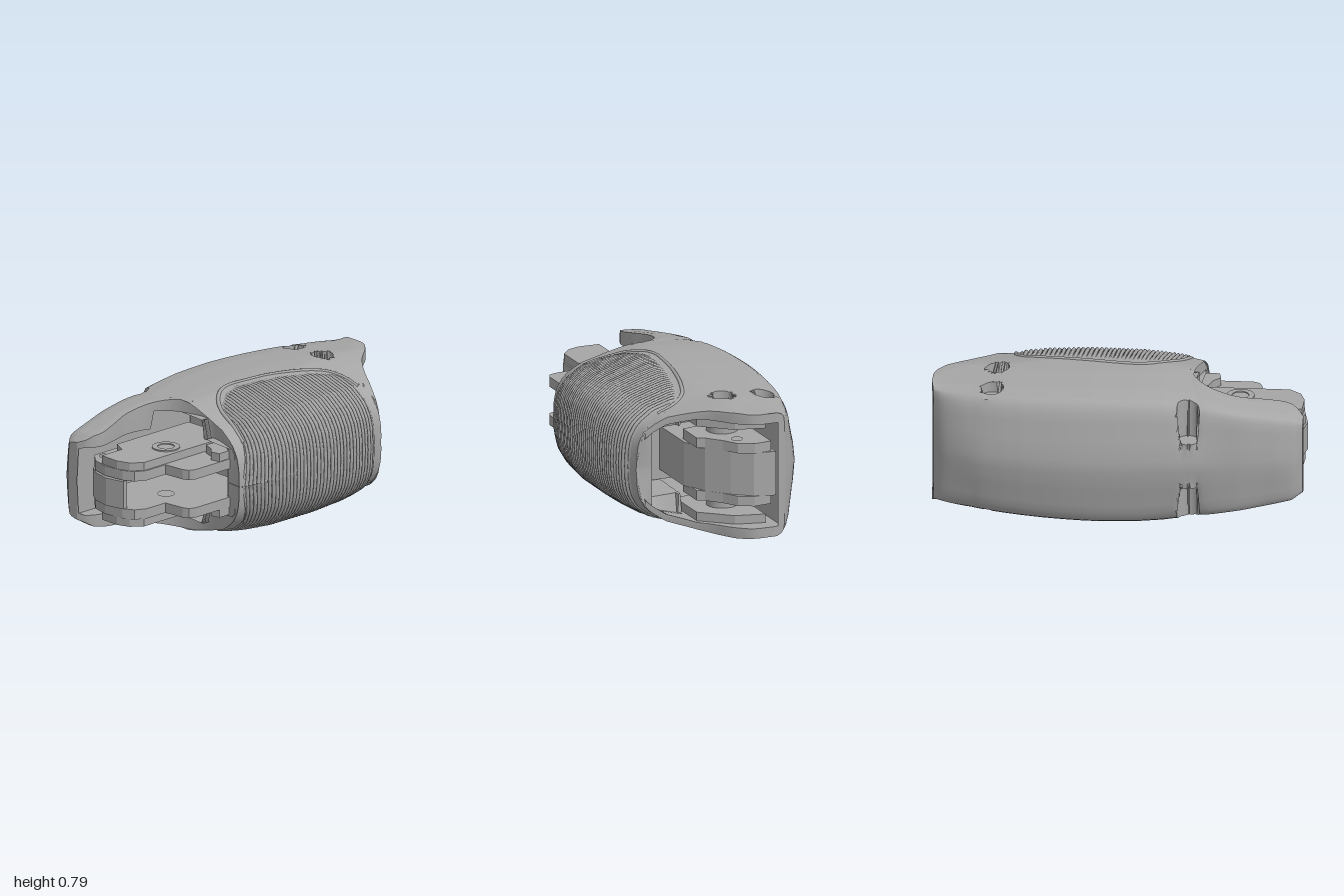
import * as THREE from 'three';
import { toCreasedNormals, mergeVertices } from 'three/addons/utils/BufferGeometryUtils.js';

const MID = 0.39; // the body is mirrored about this height

// linear lookup in a list of [key, value]
function lut(t, x) {
  if (x <= t[0][0]) return t[0][1];
  for (let i = 1; i < t.length; i++) {
    if (x <= t[i][0]) {
      const [a, b] = [t[i - 1], t[i]];
      return a[1] + (b[1] - a[1]) * (x - a[0]) / (b[0] - a[0]);
    }
  }
  return t[t.length - 1][1];
}

// body form: half height along z, right side line, crown across x, left wall rounding
const HALF = [[-1, 0.345], [-0.8, 0.362], [-0.4, 0.38], [-0.15, 0.388], [0.1, 0.387], [0.25, 0.378],
  [0.4, 0.358], [0.6, 0.315], [0.8, 0.28], [0.93, 0.255], [1, 0.21]];
const RIGHT = [[-0.6, 0.44], [-0.5, 0.468], [-0.4, 0.485], [-0.2, 0.497], [0.1, 0.495], [0.3, 0.475], [0.44, 0.447]];
const CROWN = [[0.05, 1], [0.12, 0.965], [0.2, 0.91], [0.35, 0.79], [0.42, 0.66], [0.45, 0.58],
  [0.48, 0.44], [0.49, 0.34], [0.497, 0.22], [0.5, 0]];
const WALL = [[0, 0], [0.01, 0.25], [0.03, 0.5], [0.05, 0.75], [0.075, 0.88], [0.1, 0.92], [0.2, 0.965], [0.4, 1]];
const rightX = (z) => lut(RIGHT, z);
const height = (x, z) => lut(HALF, z) * lut(CROWN, x + 0.5 - rightX(z));

// plan rows: left x, left z, right x, right z (right x of 0.55 follows the closed grip side)
const ROWS = [
  [-0.27, -0.985, -0.2, -1], [-0.33, -0.93, -0.08, -0.99], [-0.38, -0.85, 0, -0.93], [-0.43, -0.74, 0.11, -0.8],
  [-0.46, -0.62, 0.25, -0.7], [-0.475, -0.53, 0.39, -0.635], [-0.482, -0.48, 0.55, -0.58], [-0.5, -0.25, 0.55, -0.3],
  [-0.497, 0, 0.55, 0.05], [-0.475, 0.25, 0.55, 0.3], [-0.465, 0.33, 0.55, 0.43], [-0.46, 0.36, 0.38, 0.42],
  [-0.455, 0.4, 0.2, 0.365], [-0.45, 0.44, 0.06, 0.36], [-0.44, 0.5, -0.09, 0.41], [-0.43, 0.57, -0.17, 0.5],
  [-0.42, 0.66, -0.2, 0.64], [-0.4, 0.78, -0.165, 0.79], [-0.38, 0.88, -0.15, 0.89], [-0.35, 0.95, -0.18, 0.955],
  [-0.3, 0.99, -0.23, 0.99]];
// screw recesses: x, z, radius, floor half height
const BORES = [[-0.28, -0.67, 0.06, 0.3], [-0.05, -0.655, 0.06, 0.31], [-0.39, 0.385, 0.06, 0.13]];
const LEFT_OFF = [0, 0.004, 0.01, 0.02, 0.03, 0.04, 0.05, 0.062, 0.075, 0.1];
const RIGHT_OFF = [0.08, 0.065, 0.05, 0.035, 0.02, 0.01, 0.003, 0];

// grid of [x, half height, z] loops, built above and below the middle plane
function mirroredGrid(rows, caps, crease) {
  const pos = [];
  const quad = (a, b, c, d) => {
    for (const t of [[a, b, c], [a, c, d]]) {
      for (const p of t) pos.push(p[0], MID + p[1], p[2]);
      for (const p of [t[0], t[2], t[1]]) pos.push(p[0], MID - p[1], p[2]);
    }
  };
  const n = rows[0].length;
  for (let r = 0; r < rows.length - 1; r++) {
    for (let j = 0; j < n - 1; j++) quad(rows[r][j], rows[r + 1][j], rows[r + 1][j + 1], rows[r][j + 1]);
  }
  if (caps) {
    const [f, l] = [rows[0], rows[rows.length - 1]];
    for (let j = 0; j < n / 2 - 1; j++) {
      quad(f[j], f[j + 1], f[n - 2 - j], f[n - 1 - j]);
      quad(l[j], l[n - 1 - j], l[n - 2 - j], l[j + 1]);
    }
  }
  const g = new THREE.BufferGeometry();
  g.setAttribute('position', new THREE.Float32BufferAttribute(pos, 3));
  return toCreasedNormals(mergeVertices(g), crease);
}

// one shell section: outer skin left to right, then cavity lining right to left
function shellSection(L, R, last) {
  const xl = L.x, xr = Math.min(R.x, rightX(R.z)), w = xr - xl, k = Math.min(1, w / 0.5);
  const zAt = (x) => L.z + (R.z - L.z) * (x - xl) / w;
  const xs = LEFT_OFF.map((o) => xl + o * k);
  const a = xl + 0.1 * k, b = xr - 0.08 * k;
  for (let i = 1; i < 40; i++) xs.push(a + (b - a) * i / 40);
  RIGHT_OFF.forEach((o) => xs.push(xr - o * k));
  const n = xs.length;
  const out = xs.map((x, j) => {
    let z = zAt(x), h = height(x, z) * lut(WALL, (x - xl) / k);
    if (j === n - 1) h *= 0.94;
    for (const [bx, bz, r, floor] of BORES) {
      const dx = x - bx, dz = z - bz, d = Math.hypot(dx, dz);
      if (d > r + 0.013 || d < 1e-4 || h < floor) continue;
      const d2 = d < r ? (d > r - 0.013 ? r - 0.001 : d) : r;
      if (d < r) h = floor;
      x = bx + dx * d2 / d;
      z = bz + dz * d2 / d;
    }
    return [x, h, z];
  });
  const end = out[n - 1][1];
  const il = Math.min(Math.max(xl + 0.05, -0.24), xr - 0.01);
  const ir = xr - 0.1 * Math.max(0, (0.2 - end) / 0.2);
  for (let j = n - 1; j >= 0; j--) {
    const s = Math.min(1, Math.max(0, (j - 1) / (n - 3)));
    const x = il + (ir - il) * s, z = zAt(x);
    let h = z > 0.5 || (x > 0.14 && z > -0.55) ? 0.19 : 0.29;
    h = Math.min(h, Math.max(0, height(x, z) - 0.04));
    if (j === n - 1) h = Math.min(h, end);
    if (j === 0 || last) h = 0;
    out.push([x, h, z]);
  }
  return out;
}

function shellGeometry() {
  const curve = (i) => new THREE.CatmullRomCurve3(ROWS.map((r) => new THREE.Vector3(r[i], 0, r[i + 1])));
  const [cl, cr] = [curve(0), curve(2)], N = 140, rows = [];
  for (let i = 0; i <= N; i++) rows.push(shellSection(cl.getPoint(i / N), cr.getPoint(i / N), i === N));
  return mirroredGrid(rows, true, 0.6);
}

// grip panel: start of the panel on the top face along z
const GRIP = [[-0.585, 0.3], [-0.575, 0.21], [-0.52, 0.13], [-0.4, 0.08], [-0.2, 0.035], [0, 0.01], [0.12, 0.005],
  [0.22, 0.03], [0.32, 0.1], [0.38, 0.18], [0.42, 0.3], [0.44, 0.4]];
const gripZ = (v, u) => (v > -0.1 ? -0.1 + (v + 0.1) * (0.86 + 0.14 * u) : v);
function gripPoint(v, u) {
  const z = gripZ(v, u), x0 = lut(GRIP, v), x1 = rightX(z);
  const x = x0 + (x1 - x0) * (1 - (1 - u) ** 2.6);
  return [x, height(x, z), z];
}

function gripGeometry() {
  const ribs = 40, steps = ribs * 6, cols = 26, rows = [];
  for (let i = 0; i <= steps; i++) {
    const v = -0.57 + 1.005 * i / steps, row = [];
    const ridge = Math.abs(Math.sin(Math.PI * i / 6));
    for (let j = 0; j <= cols; j++) {
      const u = j / cols, p = gripPoint(v, u);
      const a = gripPoint(v, Math.max(0, u - 0.04)), b = gripPoint(v, Math.min(1, u + 0.04));
      const dx = b[0] - a[0], dy = b[1] - a[1], len = Math.hypot(dx, dy) || 1;
      const edge = Math.min(1, i / 6, (steps - i) / 6, j / 2);
      const off = edge * (0.003 + 0.011 * ridge) - 0.004;
      const flat = j === cols;
      row.push([p[0] + off * (flat ? 1 : -dy / len), flat ? 0 : Math.max(0, p[1] + off * dx / len), p[2]]);
    }
    rows.push(row);
  }
  return mirroredGrid(rows, false, 0.9);
}

export function createModel() {
  const root = new THREE.Group();
  root.name = 'handleHousing';
  const grey = new THREE.MeshStandardMaterial({ color: 0xa6a6a6 });
  grey.name = 'plain grey';

  const add = (name, geo, x = 0, y = 0, z = 0) => {
    const m = new THREE.Mesh(geo, grey);
    m.name = name;
    m.position.set(x, y, z);
    root.add(m);
    return m;
  };
  const box = (name, x0, x1, y0, y1, z0, z1) => add(name,
    new THREE.BoxGeometry(x1 - x0, y1 - y0, z1 - z0), (x0 + x1) / 2, (y0 + y1) / 2, (z0 + z1) / 2);
  // flat plate from a plan outline, with round holes [x, z, r]
  const plate = (name, pts, holes, y0, y1) => {
    const s = new THREE.Shape(pts.map(([x, z]) => new THREE.Vector2(x, -z)));
    for (const [x, z, r] of holes) s.holes.push(new THREE.Path().absarc(x, -z, r, 0, Math.PI * 2, true));
    const g = new THREE.ExtrudeGeometry(s, { depth: y1 - y0, bevelEnabled: false, curveSegments: 24 });
    return add(name, g.rotateX(-Math.PI / 2), 0, y0, 0);
  };
  // same plate above and below the middle plane
  const pair = (name, pts, holes, a, b) => {
    plate(name + 'Upper', pts, holes, MID + a, MID + b);
    plate(name + 'Lower', pts, holes, MID - b, MID - a);
  };

  add('shell', shellGeometry());
  add('ribbedGrip', gripGeometry());

  // raised border of the grip
  for (const s of [1, -1]) {
    const pts = GRIP.map(([v]) => {
      const [x, h, z] = gripPoint(v, 0);
      return new THREE.Vector3(x, MID + s * (h - 0.003), z);
    });
    add(s > 0 ? 'gripBorderUpper' : 'gripBorderLower',
      new THREE.TubeGeometry(new THREE.CatmullRomCurve3(pts), 60, 0.011, 8));
  }

  // front jaw plates
  const pivot = [0.08, 0.63, 0.045];
  pair('jawPlate', [[-0.19, 0.2], [0.36, 0.2], [0.36, 0.68], [0.345, 0.715], [0.31, 0.73], [0.19, 0.74],
    [0.19, 0.88], [0.16, 0.94], [0.1, 0.97], [-0.02, 0.985], [-0.12, 0.96], [-0.19, 0.9]],
  [pivot, [-0.14, 0.87, 0.03]], 0.08, 0.135);
  pair('jawCheek', [[-0.14, 0.25], [0.18, 0.25], [0.18, 0.89], [0.13, 0.95], [0.06, 0.975], [-0.06, 0.97],
    [-0.06, 0.82], [-0.14, 0.78]], [pivot], 0.135, 0.18);
  pair('pivotRing', Array.from({ length: 32 }, (_, i) => {
    const a = -i / 16 * Math.PI;
    return [0.08 + 0.075 * Math.cos(a), 0.63 + 0.075 * Math.sin(a)];
  }), [pivot], 0.18, 0.187);
  pair('sideTab', [[0.2, 0.2], [0.355, 0.2], [0.355, 0.5], [0.3, 0.51], [0.26, 0.47], [0.2, 0.45]], [], 0.135, 0.18);

  // curved hook across the front
  plate('frontHook', [[-0.2, 0.86], [-0.17, 0.93], [-0.1, 0.975], [0, 0.998], [0.11, 0.975], [0.105, 0.945],
    [0, 0.96], [-0.08, 0.935], [-0.13, 0.89], [-0.14, 0.84]], [], MID - 0.08, MID + 0.075);

  // inner core
  box('core', -0.23, 0.365, 0.21, 0.57, -0.3, 0.15);

  // rear lever block, arms, pivot boss and fork plates
  const rearHole = [-0.05, -0.655, 0.028];
  plate('rearBlock', [[-0.22, -0.97], [-0.1, -0.95], [0, -0.87], [0.1, -0.76], [0.16, -0.62], [0.16, -0.3],
    [-0.22, -0.3]], [rearHole], MID - 0.125, MID + 0.12);
  pair('rearArm', [[-0.2, -0.95], [-0.1, -0.96], [-0.02, -0.92], [0.03, -0.84], [0.1, -0.76], [0.14, -0.74],
    [0.14, -0.56], [-0.2, -0.5]], [rearHole, [-0.05, -0.84, 0.03]], 0.12, 0.175);
  pair('rearBoss', Array.from({ length: 32 }, (_, i) => {
    const a = -i / 16 * Math.PI;
    return [-0.045 + 0.085 * Math.cos(a), -0.655 + 0.085 * Math.sin(a)];
  }), [rearHole], 0.175, 0.24);
  pair('forkPlate', [[-0.18, -0.92], [-0.02, -0.88], [0.14, -0.74], [0.14, -0.45], [-0.18, -0.45]],
    [rearHole], 0.24, 0.288);

  return root;
}
